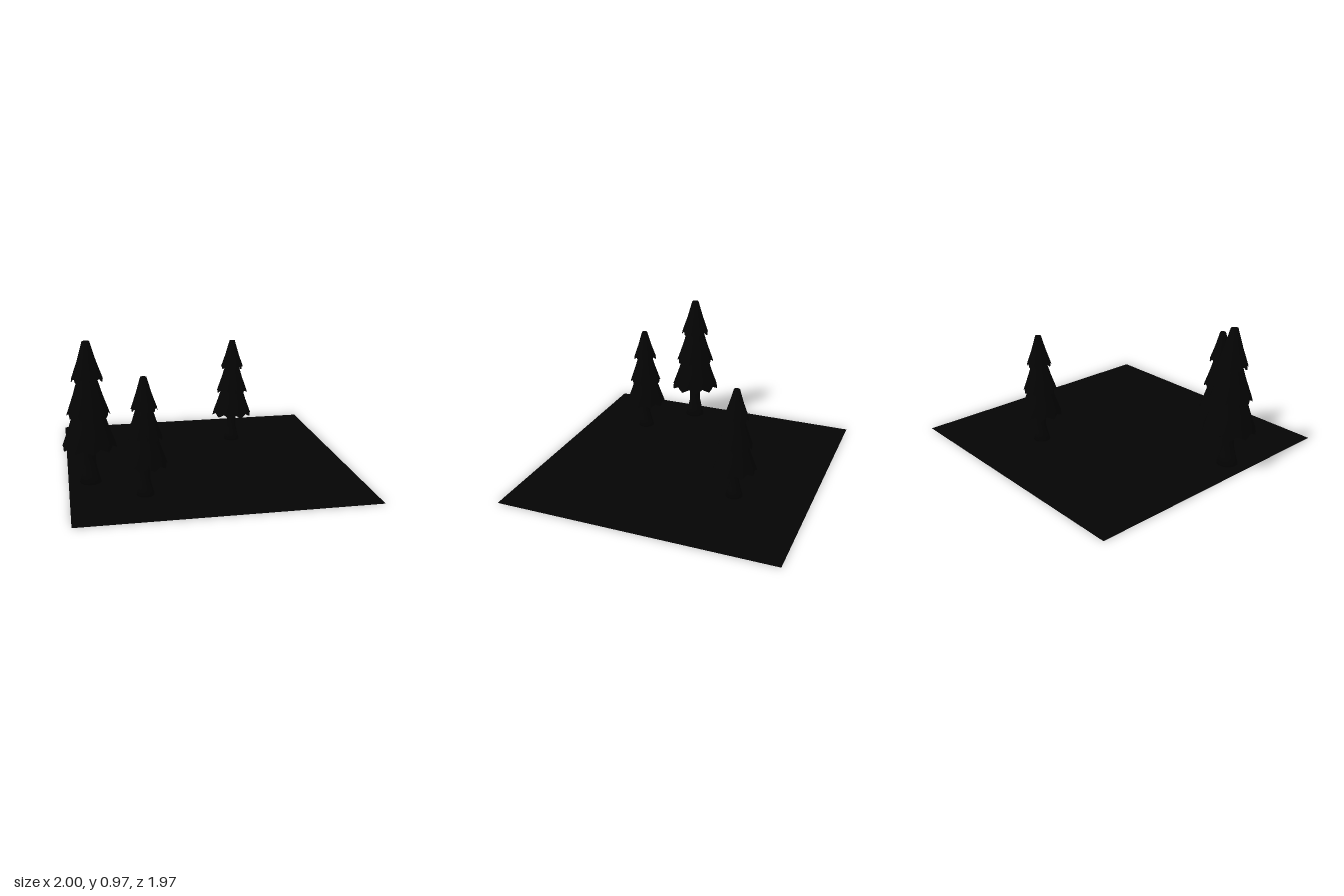
import * as THREE from 'three';

const black = new THREE.MeshStandardMaterial({ color: 0x040404, side: THREE.DoubleSide });
black.name = 'black';

function part(name, geometry) {
  const mesh = new THREE.Mesh(geometry, black);
  mesh.name = name;
  return mesh;
}

const lathe = (points, sides) =>
  new THREE.LatheGeometry(points.map(([r, y]) => new THREE.Vector2(r, y)), sides);

// Cone of foliage with a hollowed underside and a scalloped rim
function tierGeometry(rimR, rimY, topR, topY, closed, phase) {
  const midR = topR + (rimR - topR) * 0.45;
  const midY = rimY + (topY - rimY) * 0.5;
  const points = [[0.03, rimY + 0.035], [rimR * 0.85, rimY + 0.02], [rimR, rimY], [midR, midY], [topR, topY]];
  if (closed) points.push([0.001, topY]);
  const geometry = lathe(points, 40);
  const pos = geometry.attributes.position;
  for (let i = 0; i < pos.count; i++) {
    const x = pos.getX(i), z = pos.getZ(i), y = pos.getY(i);
    if (y > rimY + 0.001) continue;
    const wave = Math.cos(10 * Math.atan2(z, x) + phase);
    const s = 1 + 0.03 * (wave - 1);
    pos.setXYZ(i, x * s, y + 0.012 * (1 - wave) - 0.007, z * s);
  }
  geometry.computeVertexNormals();
  return geometry;
}

function makeTree(name, x, z, scale, turn) {
  const tree = new THREE.Group();
  tree.name = name;
  // Trunk flaring at the root
  tree.add(part('trunk', lathe(
    [[0.001, 0], [0.06, 0], [0.046, 0.05], [0.033, 0.11], [0.033, 0.15], [0.037, 0.25]], 12)));
  // Three stacked tiers: rim radius, rim height, top radius, top height
  const tiers = [
    ['lowerBranches', 0.151, 0.21, 0.075, 0.425],
    ['middleBranches', 0.119, 0.39, 0.046, 0.61],
    ['upperBranches', 0.087, 0.58, 0.02, 0.79],
  ];
  tiers.forEach(([label, ...size], i) =>
    tree.add(part(label, tierGeometry(...size, i === 2, i * 2))));
  tree.position.set(x, 0, z);
  tree.scale.setScalar(scale);
  tree.rotation.y = turn;
  return tree;
}

export function createModel() {
  const model = new THREE.Group();
  model.name = 'treesOnGround';

  // Flat ground sheet
  const ground = part('groundSheet', new THREE.PlaneGeometry(1.97, 1.97).rotateX(-Math.PI / 2));
  ground.position.x = 0.015;
  model.add(ground);

  model.add(makeTree('tallTree', -0.82, 0.26, 1.23, 0.4));
  model.add(makeTree('frontTree', -0.48, 0.55, 1, 0));
  model.add(makeTree('backTree', 0.32, -0.465, 1, 0));
  return model;
}
